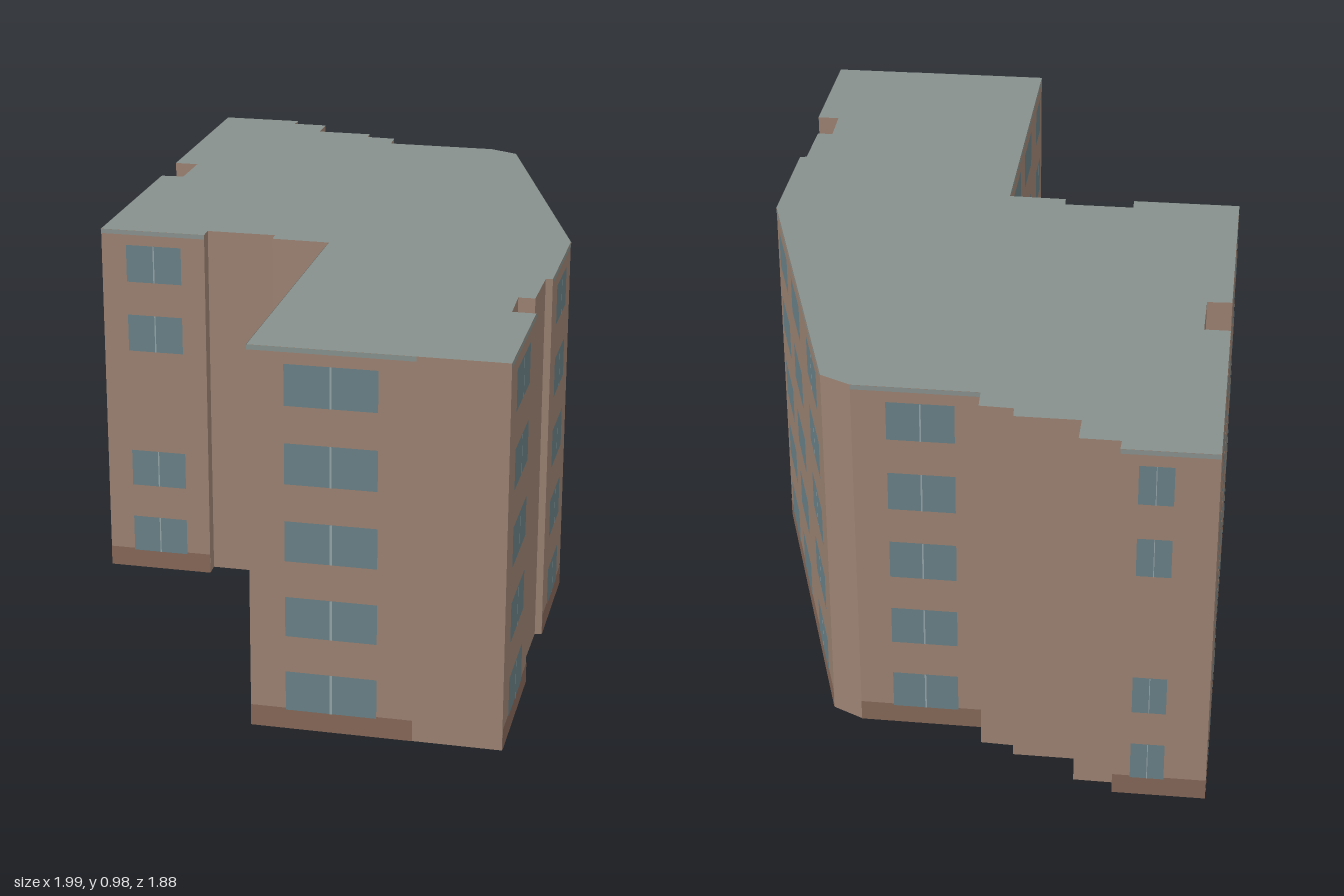
import * as THREE from 'three';

const HEIGHT = 0.98;
const LIFT = 0.002; // how far applied details sit off the wall
const FLOORS = [0.102, 0.299, 0.495, 0.692, 0.888];
const WINDOW_HEIGHT = 0.103;

// Footprint corners [x, z], clockwise seen from above
const FOOTPRINT = [
  [-1, -0.8], [-0.79, -0.89], [-0.777, -0.857], [-0.686, -0.895], [-0.654, -0.82],
  [-0.508, -0.882], [-0.492, -0.85], [-0.414, -0.88], [-0.387, -0.824], [-0.1, -0.945],
  [-0.013, -0.94], [0.603, -0.225], [0.735, 0.085], [0.72, 0.095], [0.783, 0.247],
  [0.745, 0.265], [0.793, 0.37], [0.847, 0.347], [0.993, 0.69], [0.425, 0.935],
  [0.09, 0.152], [-0.052, 0.21], [-0.067, 0.18], [-0.237, 0.253], [-0.22, 0.29],
  [-0.483, 0.403], [-0.707, -0.12], [-0.65, -0.148], [-0.707, -0.283], [-0.767, -0.257],
];

// Windowed walls: columns are [start, end, hasMullion] as fractions of the wall
const FACADES = [
  { wall: 0, columns: [[0.45, 0.81, true]], skipFloor: 2 },
  { wall: 8, columns: [[0.2, 0.73, true]] },
  { wall: 10, columns: [[0.087, 0.294, true], [0.459, 0.643], [0.745, 0.929]] },
  { wall: 11, columns: [[0.26, 0.78, true]] },
  { wall: 17, columns: [[0.25, 0.796, true]] },
  { wall: 18, columns: [[0.496, 0.858, true]], bandStart: 0.354 },
  { wall: 19, columns: [[0.075, 0.21, true, 2], [0.373, 0.58], [0.7, 0.925]] },
  { wall: 24, columns: [[0.228, 0.76, true]], skipFloor: 2 },
  { wall: 25, columns: [[0.12, 0.41], [0.59, 0.88]] },
  { wall: 29, columns: [[0.12, 0.42], [0.59, 0.89]] },
];

const paint = (color, side = THREE.FrontSide) => new THREE.MeshStandardMaterial({ color, side });

// Upright rectangle on wall i, between fractions t0..t1 and heights y0..y1
function panel(name, i, t0, t1, y0, y1, lift, material) {
  const [ax, az] = FOOTPRINT[i];
  const [bx, bz] = FOOTPRINT[(i + 1) % FOOTPRINT.length];
  const dx = bx - ax, dz = bz - az, length = Math.hypot(dx, dz);
  const nx = dz / length, nz = -dx / length, t = (t0 + t1) / 2;
  const mesh = new THREE.Mesh(new THREE.PlaneGeometry(length * (t1 - t0), y1 - y0), material);
  mesh.position.set(ax + dx * t + nx * lift, (y0 + y1) / 2, az + dz * t + nz * lift);
  mesh.rotation.y = Math.atan2(nx, nz);
  mesh.name = name;
  return mesh;
}

export function createModel() {
  const model = new THREE.Group();
  model.name = 'apartmentBlock';
  const wallPaint = paint(0x9b8172, THREE.DoubleSide);
  const plinthPaint = paint(0x846657);
  const glassPaint = paint(0x687f85);
  const mullionPaint = paint(0x93a3a6);
  const roofPaint = paint(0x87908c, THREE.DoubleSide);

  // Outer walls, open underneath
  const walls = new THREE.Group();
  walls.name = 'walls';
  FOOTPRINT.forEach((_, i) => walls.add(panel('wall', i, 0, 1, 0, HEIGHT, 0, wallPaint)));
  model.add(walls);

  // Flat roof
  const outline = new THREE.Shape(FOOTPRINT.map(([x, z]) => new THREE.Vector2(x, -z)));
  const roof = new THREE.Mesh(new THREE.ShapeGeometry(outline).rotateX(-Math.PI / 2), roofPaint);
  roof.position.y = HEIGHT;
  roof.name = 'roof';
  model.add(roof);

  // Plinth, roof trim and windows on each facade
  for (const { wall, columns, skipFloor, bandStart = 0 } of FACADES) {
    const facade = new THREE.Group();
    facade.name = 'facade';
    facade.add(panel('plinth', wall, bandStart, 1, 0, 0.055, LIFT / 2, plinthPaint));
    facade.add(panel('roofTrim', wall, bandStart, 1, 0.968, HEIGHT, LIFT / 2, roofPaint));
    for (const [t0, t1, hasMullion, columnSkip = skipFloor] of columns) {
      FLOORS.forEach((y, floor) => {
        if (floor === columnSkip) return;
        const y0 = y - WINDOW_HEIGHT / 2, y1 = y + WINDOW_HEIGHT / 2;
        facade.add(panel('window', wall, t0, t1, y0, y1, LIFT, glassPaint));
        if (!hasMullion) return;
        const middle = (t0 + t1) / 2, half = (t1 - t0) * 0.012;
        facade.add(panel('mullion', wall, middle - half, middle + half, y0, y1, LIFT * 1.5, mullionPaint));
      });
    }
    model.add(facade);
  }
  return model;
}
